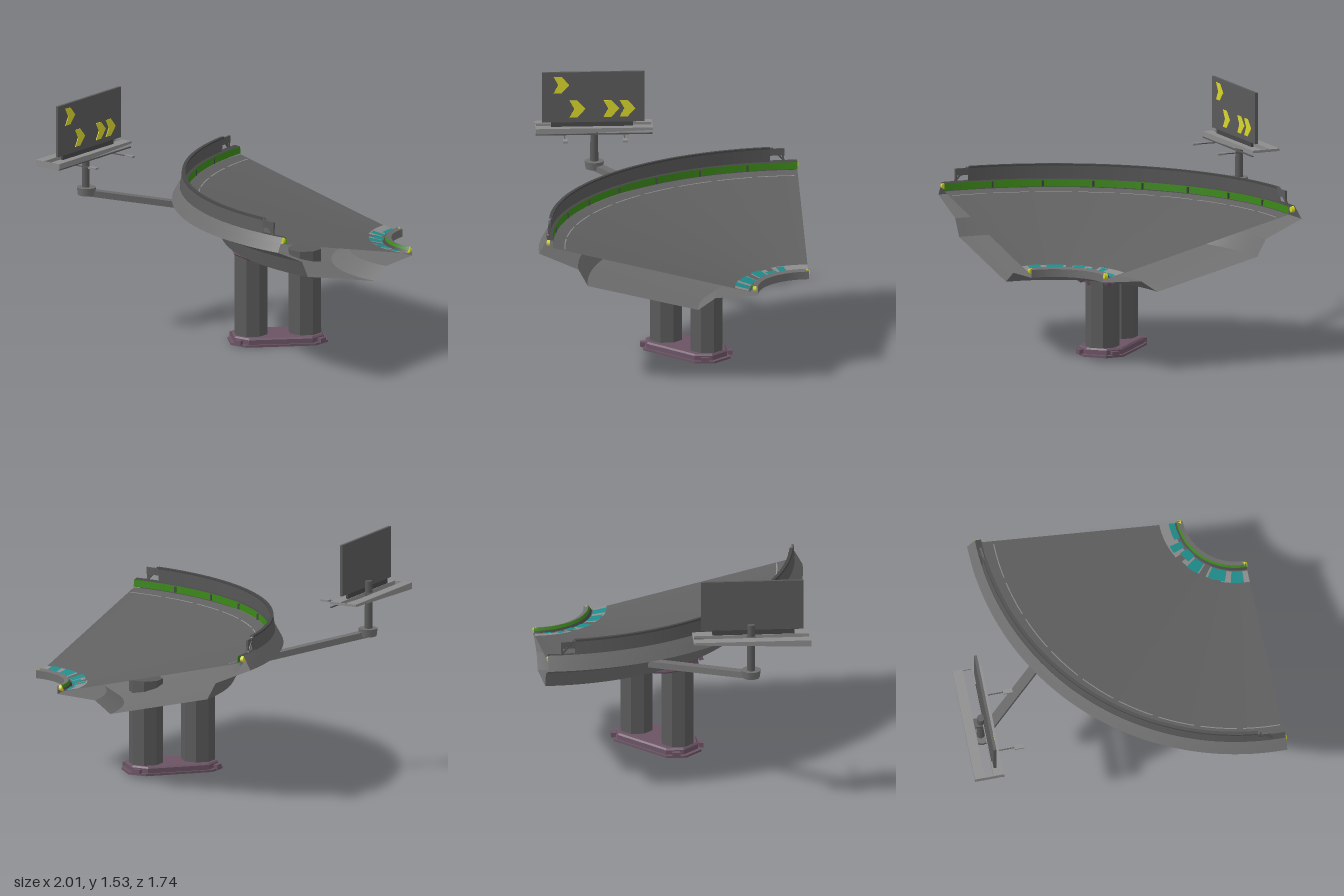
import * as THREE from 'three';
import { mergeGeometries } from 'three/addons/utils/BufferGeometryUtils.js';

const mat = (name, color) => {
  const m = new THREE.MeshStandardMaterial({ color, side: THREE.DoubleSide });
  m.name = name;
  return m;
};

export function createModel() {
  const M = {
    road: mat('asphalt', 0x606060),
    concrete: mat('concrete', 0x6e6e6e),
    dark: mat('dark steel', 0x474747),
    steel: mat('steel', 0x5a5a5a),
    light: mat('light grey', 0x8c8c8c),
    base: mat('mauve metal', 0x6b5465),
    green: mat('green', 0x3a8518),
    teal: mat('teal', 0x1f8c8a),
    yellow: mat('yellow', 0xd8d62c),
  };
  const model = new THREE.Group();
  model.name = 'bankedCurve';

  const add = (name, geo, material, parent = model) => {
    const m = new THREE.Mesh(geo, material);
    m.name = name;
    parent.add(m);
    return m;
  };
  const box = (name, material, x, y, z, w, h, d, parent) => {
    const m = add(name, new THREE.BoxGeometry(w, h, d), material, parent);
    m.position.set(x, y, z);
    return m;
  };
  const beam = (name, material, a, b, w, h, parent) => {
    const m = add(name, new THREE.BoxGeometry(w, h, a.distanceTo(b)), material, parent);
    m.position.copy(a).lerp(b, 0.5);
    m.lookAt(b);
    return m;
  };

  // The curve turns a quarter circle about this centre.
  const CX = 1, CZ = -0.87, QUARTER = Math.PI / 2;
  const at = (r, y, a) => new THREE.Vector3(CX - r * Math.sin(a), y, CZ + r * Math.cos(a));
  const roadY = r => 0.615 + (r - 0.39) * 0.248;

  // Sweeps a profile of [radius, height] points from angle a0 to a1, with crisp profile edges.
  const sweep = (name, pts, material, a0 = 0, a1 = QUARTER) => {
    const strips = [];
    const segs = Math.max(2, Math.round(48 * (a1 - a0) / QUARTER));
    for (let i = 0; i < pts.length - 1; i++) {
      const pair = [pts[i], pts[i + 1]].map(p => new THREE.Vector2(...p));
      strips.push(new THREE.LatheGeometry(pair, segs, -a1, a1 - a0));
    }
    return add(name, mergeGeometries(strips).translate(CX, 0, CZ), material);
  };
  const paint = (name, r0, r1, a0, a1, material, lift) =>
    sweep(name, [[r1, roadY(r1) + lift], [r0, roadY(r0) + lift]], material, a0, a1);

  // Deck: banked surface over an open-ended underside shell
  sweep('roadSurface', [[1.64, roadY(1.64)], [0.39, 0.615]], M.road);
  sweep('underside', [[0.34, 0.59], [0.61, 0.577], [0.72, 0.5], [1.42, 0.67], [1.48, 0.78], [1.73, 0.89]], M.concrete);

  // Outer barrier with green inner stripe
  sweep('outerBarrier', [[1.73, 0.89], [1.70, 0.945], [1.68, 0.98]], M.concrete);
  sweep('outerBarrierTop', [[1.68, 0.98], [1.64, 0.975]], M.dark);
  sweep('outerGreenStripe', [[1.64, 0.975], [1.637, 0.93]], M.green);
  for (let i = 1; i < 8; i++) {
    const a = i * QUARTER / 8;
    beam('stripeJoint', M.dark, at(1.636, 0.932, a), at(1.636, 0.97, a), 0.012, 0.012);
  }

  // Inner curb
  sweep('innerCurb', [[0.34, 0.59], [0.34, 0.64], [0.37, 0.65]], M.concrete);
  sweep('innerGreenStripe', [[0.37, 0.65], [0.38, 0.632]], M.green);
  sweep('innerCurbFoot', [[0.38, 0.632], [0.392, 0.615]], M.dark);

  // Fence on the outer barrier, with open braced ends
  const F0 = 0.105, F1 = QUARTER - F0;
  sweep('fence', [[1.678, 0.975], [1.665, 1.07], [1.65, 1.07], [1.66, 0.975], [1.678, 0.975]], M.steel, F0, F1);
  sweep('fenceTopRail', [[1.668, 1.062], [1.666, 1.074], [1.645, 1.074], [1.645, 1.062], [1.668, 1.062]], M.dark, F0, F1);
  for (const s of [0, 1]) {
    const ang = a => (s ? QUARTER - a : a);
    beam('fenceBrace', M.steel, at(1.66, 1.068, ang(0.1)), at(1.67, 0.98, ang(0.05)), 0.012, 0.012);
    beam('fenceEndRail', M.steel, at(1.662, 1.04, ang(0.11)), at(1.662, 1.04, ang(0.05)), 0.012, 0.045);
    beam('fenceEndPost', M.steel, at(1.665, 1.05, ang(0.054)), at(1.665, 0.98, ang(0.054)), 0.012, 0.012);
    // Yellow end markers
    for (const [r, y] of [[1.67, 0.955], [0.362, 0.63]]) {
      const lamp = add('endMarker', new THREE.CylinderGeometry(0.02, 0.02, 0.02, 6).rotateX(Math.PI / 2), M.yellow);
      lamp.position.copy(at(r, y, 0));
      if (s) {
        lamp.position.copy(at(r, y, QUARTER));
        lamp.rotation.y = QUARTER;
        lamp.position.z += 0.01;
      } else lamp.position.x -= 0.01;
    }
  }

  // Painted edge line, in long worn dashes
  for (let i = 0; i < 9; i++) paint('edgeLine', 1.56, 1.567, i * 0.1745 + 0.01, i * 0.1745 + 0.16, M.light, 0.004);

  // Painted blocks around the inner curb: [r0, r1, start, end] in fractions of the curve
  const greys = [[0.4, 0.485, 0, 0.24], [0.4, 0.48, 0.3, 0.38], [0.4, 0.48, 0.44, 0.62], [0.41, 0.49, 0.68, 1]];
  const teals = [[0.4, 0.486, 0.05, 0.16], [0.4, 0.48, 0.21, 0.36], [0.4, 0.486, 0.45, 0.56],
    [0.39, 0.45, 0.58, 0.69], [0.4, 0.48, 0.72, 0.79], [0.39, 0.43, 0.83, 1]];
  for (const [r0, r1, a, b] of greys) paint('greyBlock', r0, r1, a * QUARTER, b * QUARTER, M.light, 0.003);
  for (const [r0, r1, a, b] of teals) paint('tealBlock', r0, r1, a * QUARTER, b * QUARTER, M.teal, 0.006);

  // Twin pillars on a shared foot, aligned with the radius
  const support = new THREE.Group();
  support.name = 'support';
  support.position.set(0.245, 0, -0.115);
  support.rotation.y = Math.PI / 4;
  model.add(support);
  const plate = (name, material, k, y, h, parent, bevel = 0) => {
    const c = [[0.31, 0.075], [0.22, 0.16], [-0.22, 0.16], [-0.31, 0.075],
      [-0.31, -0.075], [-0.22, -0.16], [0.22, -0.16], [0.31, -0.075]];
    const shape = new THREE.Shape(c.map(([u, v]) => new THREE.Vector2(u * k, v * k)));
    const geo = new THREE.ExtrudeGeometry(shape, {
      depth: h - bevel, bevelEnabled: bevel > 0, bevelThickness: bevel, bevelSize: bevel, bevelOffset: -bevel, bevelSegments: 1,
    }).rotateX(-Math.PI / 2).translate(0, y, 0);
    return add(name, geo, material, parent);
  };
  plate('footFlange', M.base, 1, 0, 0.014, support);
  plate('foot', M.base, 0.92, 0.014, 0.04, support, 0.01);
  const cap = new THREE.Group();
  cap.name = 'pillarCap';
  cap.position.y = 0.578;
  cap.rotation.z = -0.238;
  support.add(cap);
  plate('capFlange', M.steel, 1, -0.012, 0.016, cap);
  plate('cap', M.base, 0.92, -0.052, 0.042, cap, 0.008);
  for (const u of [-0.172, 0.172]) {
    const g = new THREE.CylinderGeometry(0.108, 0.108, 0.56, 8).toNonIndexed();
    g.rotateY(Math.PI / 8 + Math.PI / 4).computeVertexNormals();
    add('pillar', g, M.steel, support).position.set(u, 0.32, 0);
  }
  // Short gussets at the plate corners
  for (const u of [-0.265, 0.265]) for (const v of [-0.118, 0.118]) {
    const foot = box('footGusset', M.base, u, 0.025, v, 0.05, 0.03, 0.03, support);
    const top = box('capGusset', M.base, u, -0.025, v, 0.05, 0.03, 0.03, cap);
    foot.rotation.y = top.rotation.y = Math.sign(u * v) * Math.PI / 4;
  }

  // Sign arm, pivot and post
  const sign = new THREE.Group();
  sign.name = 'signAssembly';
  model.add(sign);
  beam('signArm', M.concrete, new THREE.Vector3(-0.89, 0.9, 0.41), new THREE.Vector3(-0.29, 0.757, -0.19), 0.06, 0.04, sign);
  add('pivot', new THREE.CylinderGeometry(0.062, 0.055, 0.05, 12), M.concrete, sign).position.set(-0.885, 0.908, 0.405);
  add('signPost', new THREE.CylinderGeometry(0.024, 0.026, 0.32, 10), M.steel, sign).position.set(-0.89, 1.08, 0.405);

  // Service walkway around the post: two tapering planks joined at the ends
  const wedge = new THREE.Shape([[0.78, 1.125], [0.78, 1.168], [0.035, 1.168], [0.035, 1.152]].map(p => new THREE.Vector2(...p)));
  for (const [x, w] of [[-1, 0.065], [-0.88, 0.068]]) {
    const g = new THREE.ExtrudeGeometry(wedge, { depth: w, bevelEnabled: false });
    add('walkwayPlank', g.rotateY(-Math.PI / 2).translate(x + w, 0, 0), M.light, sign);
  }
  box('walkwayEnd', M.light, -0.906, 1.146, 0.777, 0.188, 0.042, 0.006, sign);
  box('walkwayEnd', M.light, -0.906, 1.16, 0.038, 0.188, 0.016, 0.006, sign);
  box('walkwayRail', M.steel, -0.815, 1.13, 0.41, 0.01, 0.008, 0.74, sign);
  box('postBracket', M.steel, -0.9, 1.155, 0.405, 0.12, 0.02, 0.06, sign);

  // Sign lamps on thin stalks
  for (const z of [0.22, 0.6]) {
    beam('lampStalk', M.steel, new THREE.Vector3(-0.83, 1.124, z), new THREE.Vector3(-0.69, 1.126, z), 0.006, 0.006, sign);
    box('lamp', M.light, -0.68, 1.127, z, 0.06, 0.012, 0.03, sign);
  }

  // Sign board with yellow chevrons
  box('signBoard', M.steel, -0.863, 1.363, 0.413, 0.018, 0.33, 0.65, sign);
  box('signFoot', M.dark, -0.867, 1.183, 0.42, 0.016, 0.035, 0.52, sign);
  const chevron = new THREE.Shape([[-0.05, 0.055], [0, 0.055], [0.05, 0], [0, -0.055], [-0.05, -0.055], [-0.02, 0]]
    .map(p => new THREE.Vector2(...p)));
  const chevronGeo = new THREE.ExtrudeGeometry(chevron, { depth: 0.004, bevelEnabled: false }).rotateY(Math.PI / 2);
  for (const [z, y] of [[0.615, 1.445], [0.513, 1.286], [0.298, 1.286], [0.196, 1.286]]) {
    add('chevron', chevronGeo, M.yellow, sign).position.set(-0.854, y, z);
  }
  return model;
}
